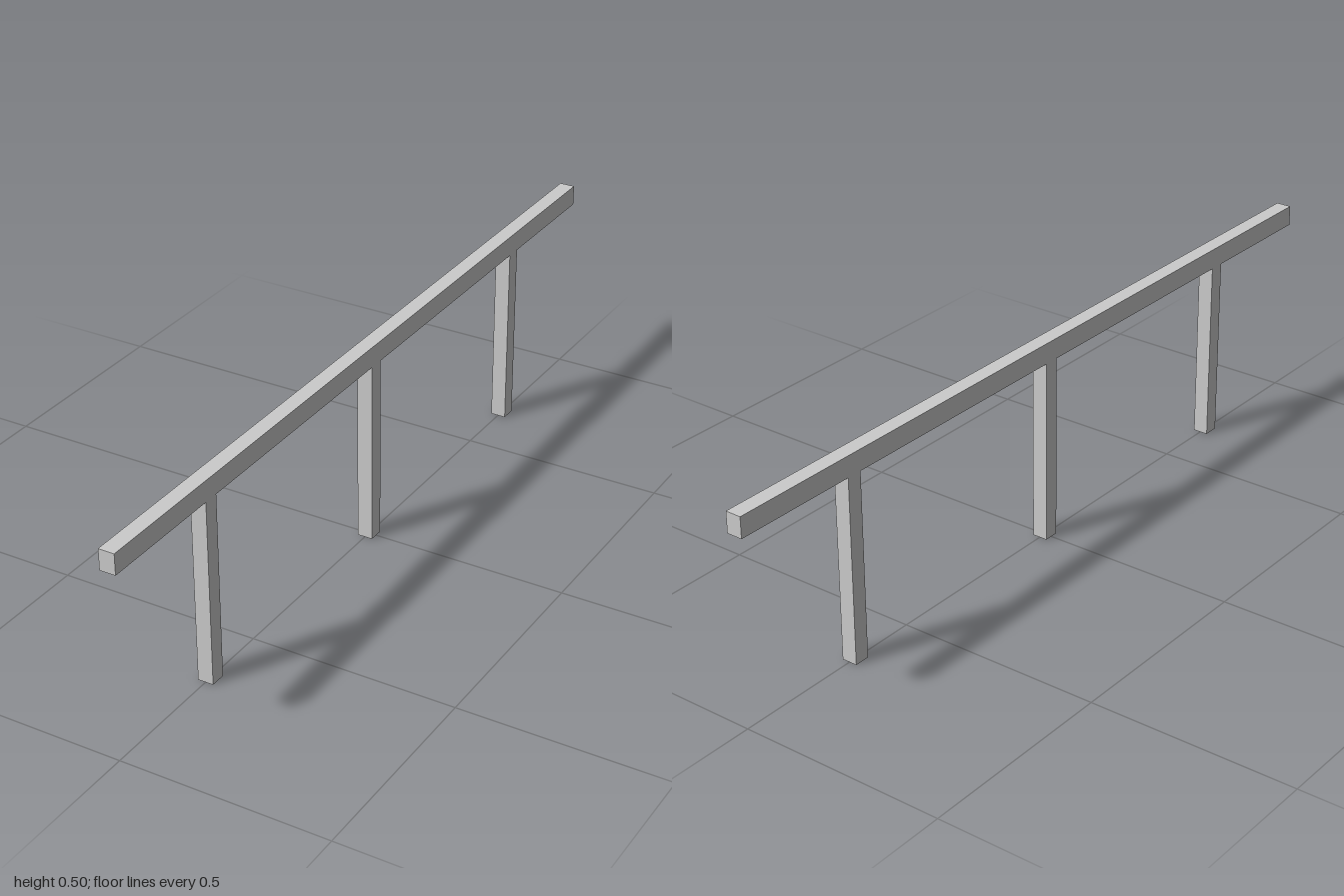
import * as THREE from 'three';

const WIDTH = 0.038, HEIGHT = 0.502, RAIL_HEIGHT = 0.05, LENGTH = 2;
const POST_HEIGHT = HEIGHT - RAIL_HEIGHT, POST_SPACING = 0.668;

export function createModel() {
  const group = new THREE.Group();
  group.name = 'postRail';
  const material = new THREE.MeshStandardMaterial({ color: 0xcccccc, flatShading: true });

  const addBox = (name, height, depth, y, z) => {
    const mesh = new THREE.Mesh(new THREE.BoxGeometry(WIDTH, height, depth), material);
    mesh.name = name;
    mesh.position.set(0, y, z);
    group.add(mesh);
  };

  // Long top rail
  addBox('rail', RAIL_HEIGHT, LENGTH, HEIGHT - RAIL_HEIGHT / 2, 0);

  // Three square posts, flush with the rail's sides
  ['backPost', 'middlePost', 'frontPost'].forEach((name, i) =>
    addBox(name, POST_HEIGHT, WIDTH, POST_HEIGHT / 2, (i - 1) * POST_SPACING));

  return group;
}
